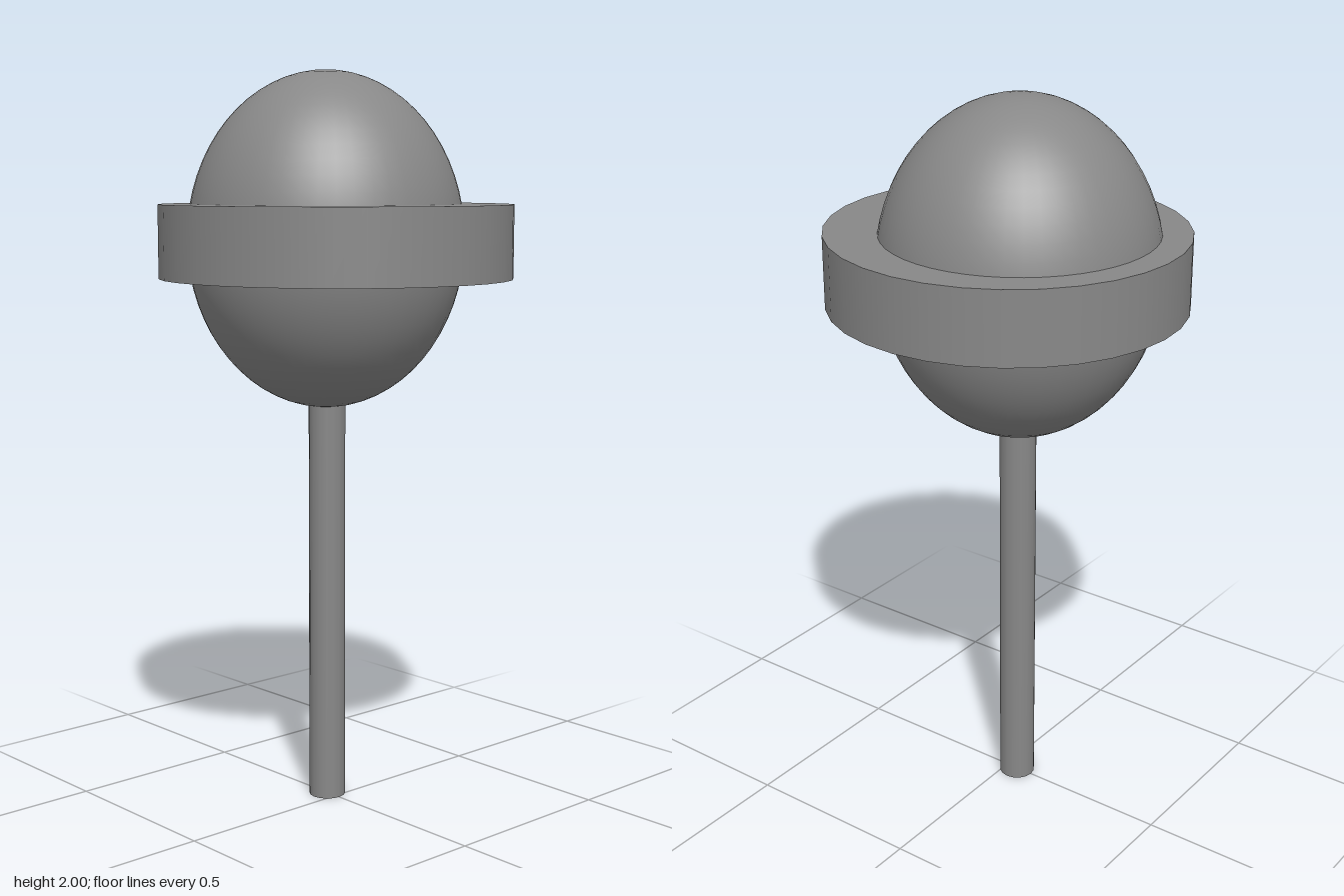
import * as THREE from 'three';

export function createModel() {
  const model = new THREE.Group();
  model.name = 'lollipop';
  const grey = new THREE.MeshStandardMaterial({ color: 0x888888 });
  grey.name = 'grey';

  const add = (name, geometry, y, z) => {
    const mesh = new THREE.Mesh(geometry, grey);
    mesh.name = name;
    mesh.position.set(0, y, z);
    model.add(mesh);
  };

  // Stick, its top buried in the candy
  add('stick', new THREE.CylinderGeometry(0.05, 0.05, 1.2, 16), 0.6, -0.035);

  // Egg-shaped candy, set slightly back from the ring's centre
  add('candy', new THREE.SphereGeometry(1, 48, 32).scale(0.373, 0.45, 0.373), 1.55, -0.039);

  // Flat band around the candy, slightly oval
  add('band', new THREE.CylinderGeometry(1, 1, 0.196, 32).scale(0.469, 1, 0.481), 1.549, 0);

  return model;
}
